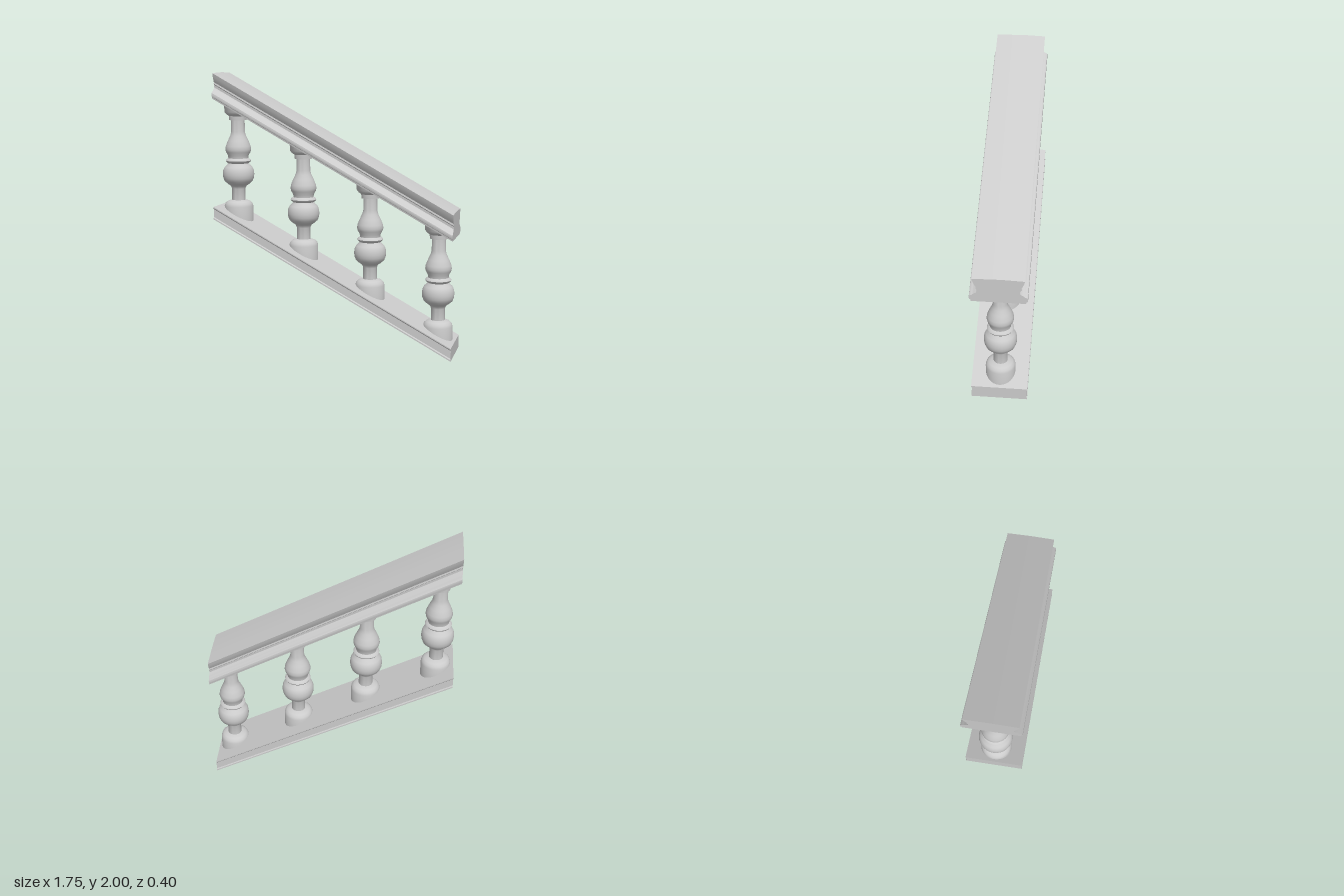
import * as THREE from 'three';
import { toCreasedNormals } from 'three/addons/utils/BufferGeometryUtils.js';

const LENGTH = 1.75;
const SLOPE = 0.545;
const material = new THREE.MeshStandardMaterial({ color: 0xcccccc });

// Mirrored moulding profile run along x, then sheared down the stair slope
function rail(name, half, leftY, rightY) {
  const mirrored = half.map(([z, y]) => [-z, y]).reverse();
  const shape = new THREE.Shape([...half, ...mirrored].map(([z, y]) => new THREE.Vector2(z, y)));
  const geo = new THREE.ExtrudeGeometry(shape, { depth: LENGTH, bevelEnabled: false });
  geo.rotateY(Math.PI / 2).translate(-LENGTH / 2, 0, 0);
  const p = geo.attributes.position;
  for (let i = 0; i < p.count; i++) {
    const t = p.getX(i) / LENGTH + 0.5;
    p.setY(i, p.getY(i) + leftY + (rightY - leftY) * t);
  }
  const mesh = new THREE.Mesh(toCreasedNormals(geo, 0.6), material);
  mesh.name = name;
  return mesh;
}

// Turned baluster: heights measured from the foot of the leftmost one
const FOOT = 0.94;
const TOP = 1.81;
function balusterGeometry() {
  const profile = [
    [0.106, FOOT], [0.106, 1.02], [0.1, 1.04], [0.085, 1.055], [0.065, 1.062], [0.05, 1.066],
    [0.05, 1.15], [0.058, 1.17], [0.08, 1.185], [0.103, 1.205], [0.113, 1.23], [0.116, 1.255],
    [0.113, 1.285], [0.102, 1.31], [0.082, 1.328], [0.076, 1.338],
    [0.088, 1.347], [0.094, 1.357], [0.088, 1.367], [0.074, 1.375],
    [0.076, 1.395], [0.09, 1.42], [0.095, 1.44], [0.091, 1.465], [0.075, 1.505], [0.058, 1.54], [0.05, 1.57],
    [0.05, 1.655], [0.064, 1.655], [0.066, 1.685], [0.085, 1.698], [0.098, 1.715], [0.1, TOP],
  ].map(([r, y]) => new THREE.Vector2(r, y));
  const geo = new THREE.LatheGeometry(profile, 32);
  // Slant both ends so that they stay buried in the rails
  const p = geo.attributes.position;
  for (let i = 0; i < p.count; i++) {
    const y = p.getY(i);
    if (Math.abs(y - FOOT) < 1e-4 || Math.abs(y - TOP) < 1e-4) p.setY(i, y - SLOPE * p.getX(i));
  }
  return toCreasedNormals(geo, 0.7);
}

export function createModel() {
  const group = new THREE.Group();
  group.name = 'stairBalustrade';

  // Moulded handrail
  group.add(rail('handrail', [
    [0.185, 0], [0.187, 0.012], [0.195, 0.016], [0.198, 0.028], [0.196, 0.042], [0.187, 0.05],
    [0.178, 0.052], [0.165, 0.064], [0.15, 0.07], [0.143, 0.08], [0.144, 0.098], [0.152, 0.105],
    [0.15, 0.118], [0.158, 0.132], [0.17, 0.158], [0.177, 0.182], [0.1, 0.185], [0.04, 0.187],
  ], 1.815, 0.85));

  // Bottom rail with shallow recessed sides
  group.add(rail('bottomRail', [
    [0.198, 0], [0.198, 0.01], [0.192, 0.018], [0.192, 0.076], [0.198, 0.084], [0.198, 0.092],
  ], 0.94, 0));

  // Balusters stepping down the slope
  const geo = balusterGeometry();
  for (let i = 0; i < 4; i++) {
    const baluster = new THREE.Mesh(geo, material);
    baluster.name = `baluster${i + 1}`;
    baluster.position.set(-0.75 + i * 0.5, -SLOPE * 0.5 * i, 0);
    group.add(baluster);
  }
  return group;
}
